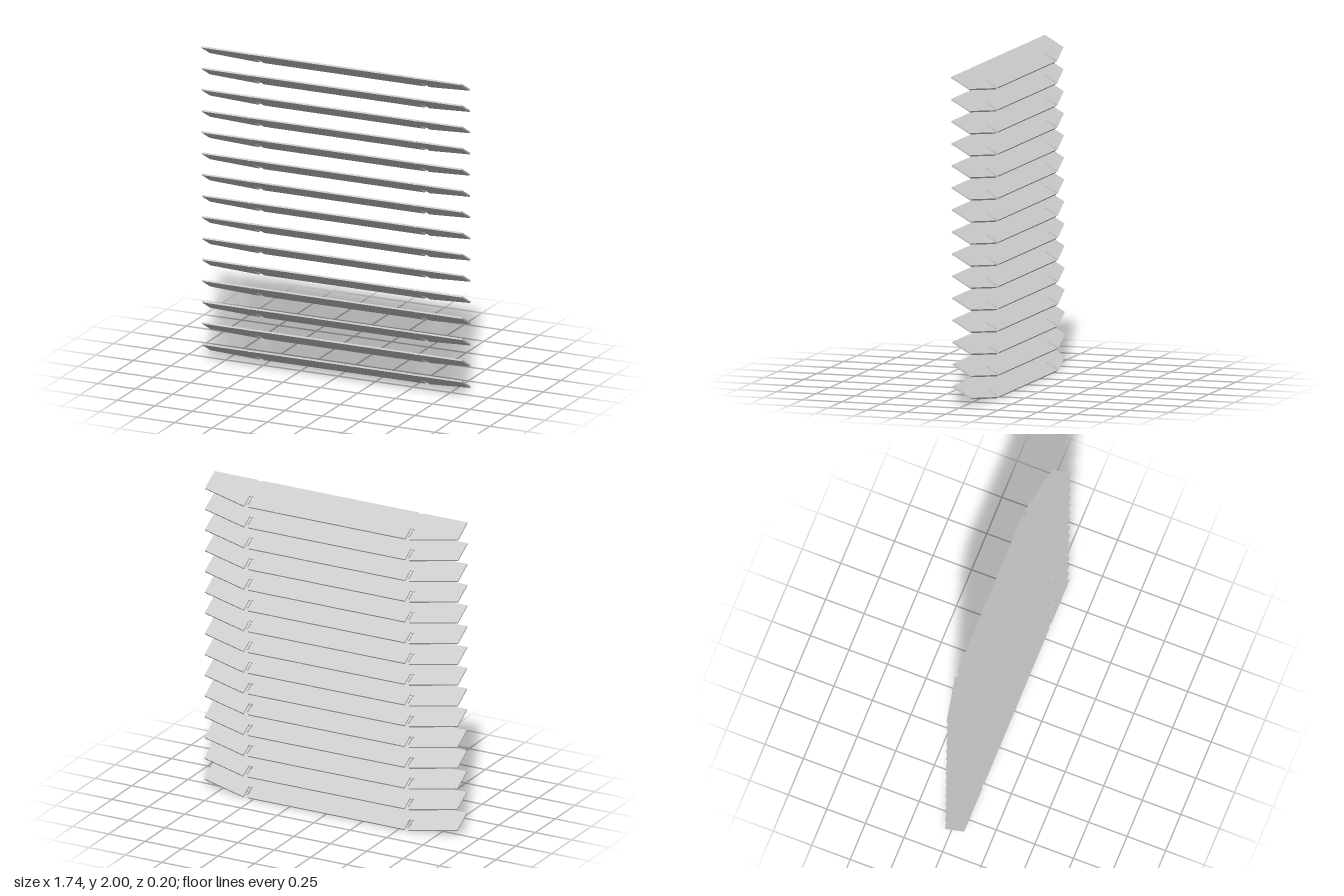
import * as THREE from 'three';

const COUNT = 15;
const DEPTH = 0.21;        // slat width along its slope
const THICK = 0.01;
const TILT = Math.PI / 6;  // slope of each slat, front edge high
const NOTCH_X = 0.553;

// Flat slat outline: y = 0 at the front edge, y = -DEPTH at the back edge
function slatShape() {
  const n = NOTCH_X, root = DEPTH - 0.08, tip = DEPTH - 0.02;
  const half = [
    // shallow recess in the front edge
    [n - 0.016, 0], [n - 0.011, 0.007], [n + 0.011, 0.007], [n + 0.016, 0],
    // tapered end
    [0.868, 0], [0.868, 0.138], [n + 0.015, DEPTH],
    // back slot with a small pointed tongue
    [n + 0.015, root], [n + 0.004, root], [n + 0.004, tip - 0.01], [n, tip],
    [n - 0.004, tip - 0.01], [n - 0.004, root], [n - 0.015, root], [n - 0.015, DEPTH],
  ];
  const mirrored = half.map(([x, v]) => [-x, v]).reverse();
  return new THREE.Shape([...half, ...mirrored].map(([x, v]) => new THREE.Vector2(x, -v)));
}

export function createModel() {
  const group = new THREE.Group();
  group.name = 'louverStack';
  const material = new THREE.MeshStandardMaterial({ color: 0xcccccc, flatShading: true });

  // One slat, centred on its own middle and tilted
  const geometry = new THREE.ExtrudeGeometry(slatShape(), { depth: THICK, bevelEnabled: false });
  geometry.translate(0, DEPTH / 2, -THICK / 2);
  geometry.rotateX(Math.PI / 2 - TILT);

  // Stack of slats, leaning very slightly forward towards the top
  const halfHeight = (DEPTH * Math.sin(TILT) + THICK * Math.cos(TILT)) / 2;
  for (let i = 0; i < COUNT; i++) {
    const f = i / (COUNT - 1);
    const slat = new THREE.Mesh(geometry, material);
    slat.name = `slat${i + 1}`;
    slat.position.set(0, halfHeight + f * (2 - 2 * halfHeight), (f - 0.5) * 0.01);
    group.add(slat);
  }
  return group;
}
